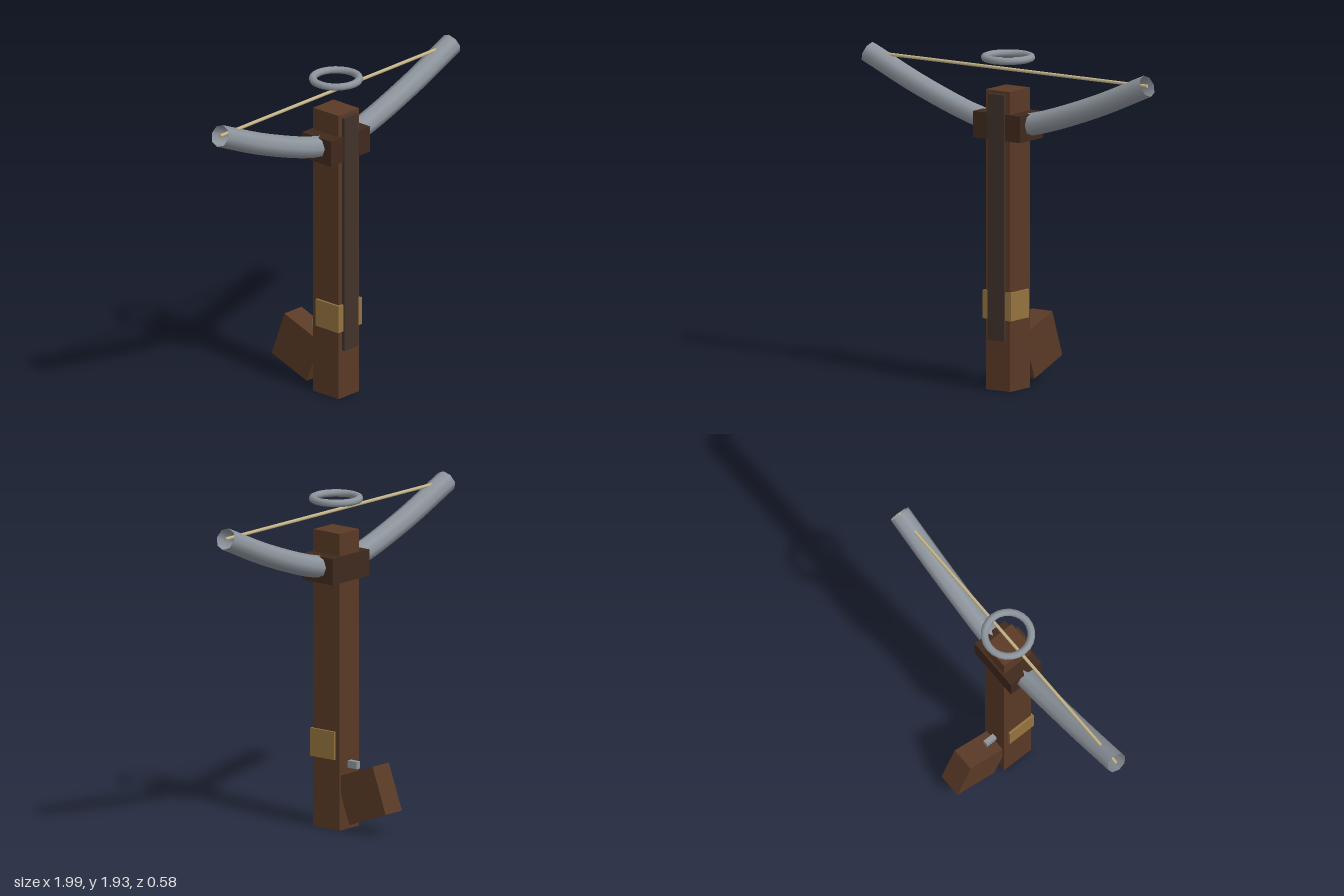
import * as THREE from 'three';

const Z = 0.138; // depth of the weapon's centre line

export function createModel() {
  const group = new THREE.Group();
  const wood = new THREE.MeshStandardMaterial({ color: 0x5a3a26 });
  const darkWood = new THREE.MeshStandardMaterial({ color: 0x40291d });
  const railMat = new THREE.MeshStandardMaterial({ color: 0x40322a });
  const brass = new THREE.MeshStandardMaterial({ color: 0x94733f });
  const steel = new THREE.MeshStandardMaterial({ color: 0x8e959d });
  const openSteel = new THREE.MeshStandardMaterial({ color: 0x8e959d, side: THREE.DoubleSide });
  const cord = new THREE.MeshStandardMaterial({ color: 0xc8b88a });

  const add = (name, geometry, material, x, y, z) => {
    const mesh = new THREE.Mesh(geometry, material);
    mesh.name = name;
    mesh.position.set(x, y, z);
    group.add(mesh);
    return mesh;
  };
  const box = (name, w, h, d, material, y, z) =>
    add(name, new THREE.BoxGeometry(w, h, d), material, 0, y, z);

  // Stock, arrow rail and fittings
  box('stock', 0.17, 1.725, 0.195, wood, 0.8625, Z);
  box('rail', 0.114, 1.415, 0.04, railMat, 0.998, 0.237);
  box('bowClamp', 0.326, 0.153, 0.222, darkWood, 1.518, Z);
  box('lockPlate', 0.196, 0.163, 0.176, brass, 0.49, 0.159);
  box('trigger', 0.03, 0.042, 0.09, steel, 0.376, 0.017);

  // Tilted grip behind the stock
  box('grip', 0.143, 0.283, 0.287, wood, 0.222, -0.107).rotation.x = 0.35;

  // Bow: open-ended tube, mirrored about the middle
  const half = [[0.97, 1.836], [0.6, 1.677], [0.19, 1.541]];
  const points = [
    ...half.map(([x, y]) => new THREE.Vector3(-x, y, 0)),
    new THREE.Vector3(0, 1.515, 0),
    ...half.reverse().map(([x, y]) => new THREE.Vector3(x, y, 0)),
  ];
  const curve = new THREE.CatmullRomCurve3(points);
  add('bow', new THREE.TubeGeometry(curve, 24, 0.064, 8, false), openSteel, 0, 0, Z);

  // String between the bow tips
  const string = new THREE.CylinderGeometry(0.01, 0.01, 1.94, 6).rotateZ(Math.PI / 2);
  add('string', string, cord, 0, 1.836, Z);

  // Foot stirrup ring, lying flat above the tip
  const ring = new THREE.TorusGeometry(0.133, 0.022, 8, 24).rotateX(Math.PI / 2);
  add('stirrup', ring, steel, 0, 1.904, Z);

  return group;
}
